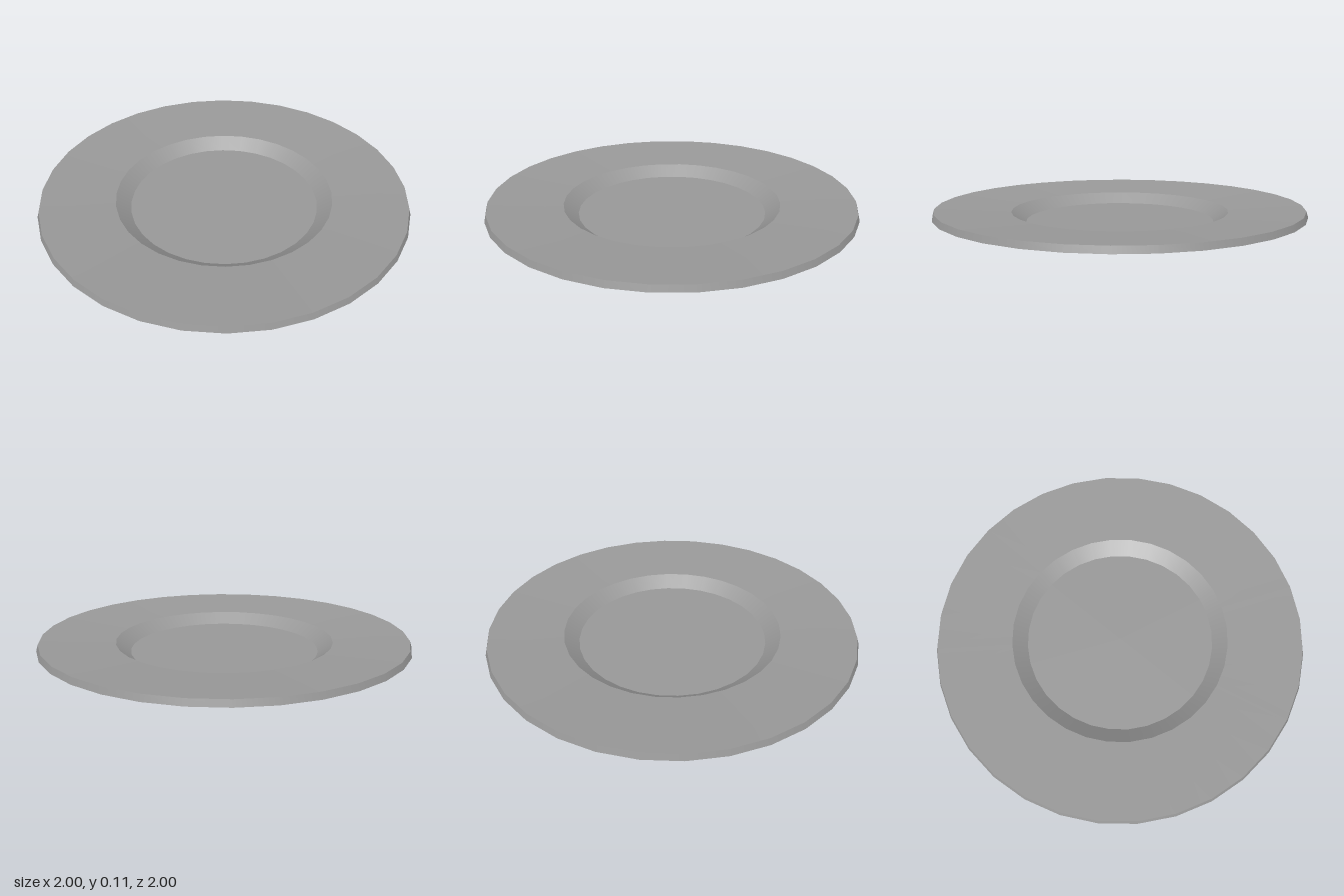
import * as THREE from 'three';

const SEGMENTS = 32;

export function createModel() {
  const plate = new THREE.Group();
  plate.name = 'plate';
  const material = new THREE.MeshStandardMaterial({ color: 0x999999 });

  // Bands as [radius, height] points, from the underside centre round to the well centre.
  // Each band is its own lathe, so it is smooth within and creased where bands meet.
  const bands = {
    underside: [[0, 0], [0.5, 0], [1, 0.073]],
    outerEdge: [[1, 0.073], [0.99, 0.106]],
    rim: [[0.99, 0.106], [0.59, 0.078]],
    wellSlope: [[0.59, 0.078], [0.512, 0.022]],
    wellFloor: [[0.512, 0.022], [0, 0.022]],
  };

  for (const [name, profile] of Object.entries(bands)) {
    const points = profile.map(([r, y]) => new THREE.Vector2(r, y));
    const band = new THREE.Mesh(new THREE.LatheGeometry(points, SEGMENTS), material);
    band.name = name;
    plate.add(band);
  }
  return plate;
}
